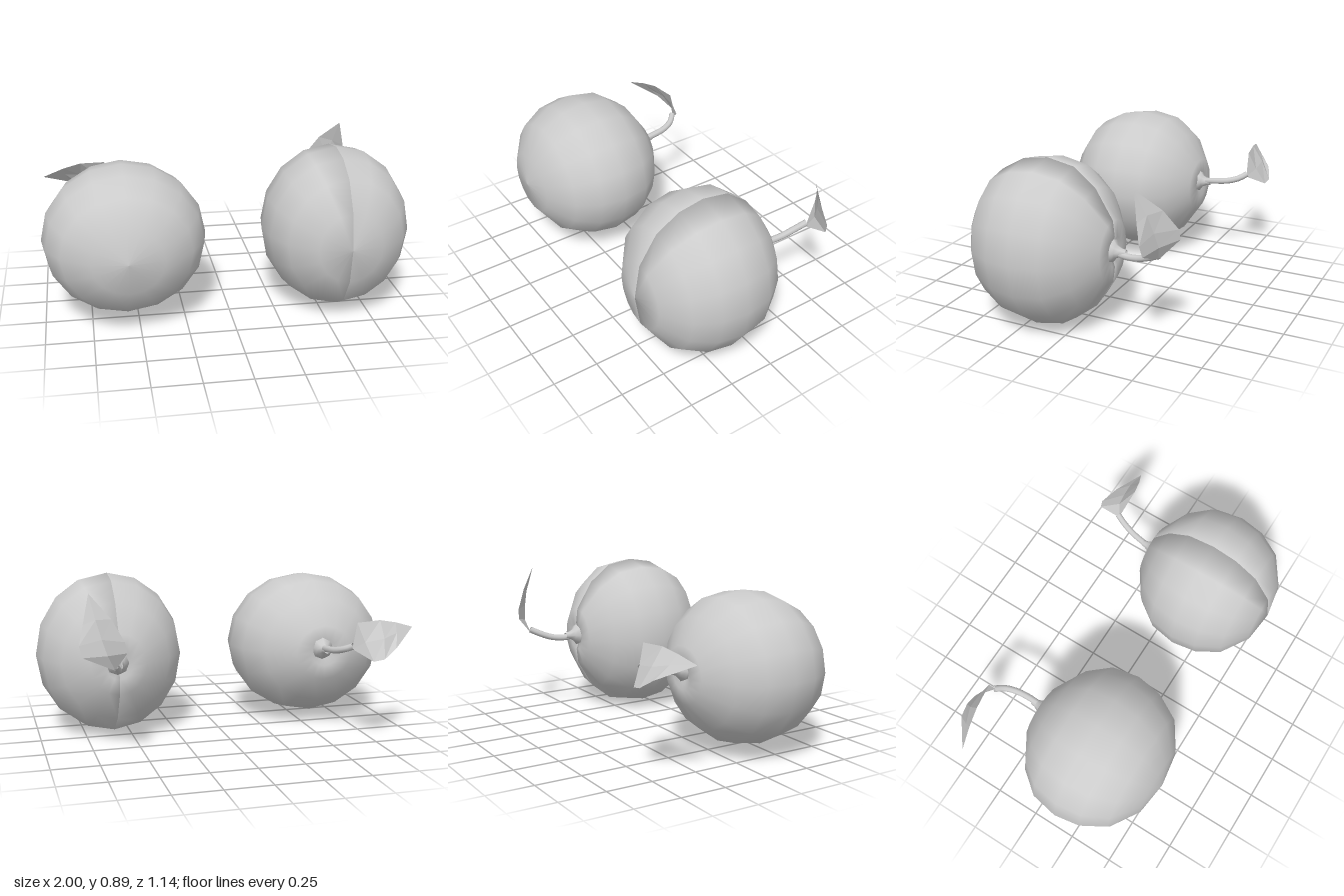
import * as THREE from 'three';

const V = (a) => new THREE.Vector3(...a);
const grey = (opts = {}) => new THREE.MeshStandardMaterial({ color: 0xcccccc, roughness: 0.8, ...opts });

// Half-outline of the fruit along its stem axis: [radius, z], with a dimple at the back
const PROFILE = [
  [0, -0.345], [0.08, -0.375], [0.165, -0.365], [0.32, -0.27], [0.415, -0.15],
  [0.443, 0], [0.42, 0.14], [0.345, 0.27], [0.19, 0.37], [0, 0.4],
].map(([r, z]) => new THREE.Vector2(r, z));

function add(parent, name, geometry, material) {
  const mesh = new THREE.Mesh(geometry, material);
  mesh.name = name;
  parent.add(mesh);
  return mesh;
}

// Lathe turned so its axis runs along z
function body(segments, start, length, sx, sy) {
  return new THREE.LatheGeometry(PROFILE, segments, start, length).rotateX(Math.PI / 2).scale(sx, sy, 1);
}

// Half of a cleft fruit; normals along the seam roll inward so it reads as a groove
function seamHalf(side, sx, sy) {
  const g = body(8, side > 0 ? 0 : Math.PI, Math.PI, sx, sy);
  const p = g.attributes.position, n = g.attributes.normal, v = new THREE.Vector3();
  for (let i = 0; i < p.count; i++) {
    if (Math.abs(p.getX(i)) > 1e-4) continue;
    v.fromBufferAttribute(n, i);
    v.x -= side * 0.8;
    v.normalize();
    n.setXYZ(i, v.x, v.y, v.z);
  }
  return g;
}

// Curved stem with a flared collar where it meets the fruit
function stem(parent, points) {
  const group = new THREE.Group();
  group.name = 'stem';
  const curve = new THREE.CatmullRomCurve3(points.map(V));
  add(group, 'stalk', new THREE.TubeGeometry(curve, 10, 0.018, 8), grey({ side: THREE.DoubleSide }));
  const flare = [[0.018, 0.075], [0.022, 0.05], [0.036, 0.022], [0.062, 0.004], [0.05, -0.03]]
    .reverse().map(([r, y]) => new THREE.Vector2(r, y));
  const collar = add(group, 'collar', new THREE.LatheGeometry(flare, 8).rotateX(-Math.PI / 2), grey({ side: THREE.DoubleSide }));
  collar.position.copy(V(points[0]));
  parent.add(group);
}

// Folded leaf: rows of [edge, midrib, edge] between a base point and a tip
function leaf(parent, base, rows, tip) {
  const all = [[base, base, base], ...rows, [tip, tip, tip]];
  const index = [];
  for (let i = 0; i < all.length - 1; i++) {
    for (let j = 0; j < 2; j++) {
      const a = i * 3 + j, b = a + 3;
      if (i > 0) index.push(a, a + 1, b);
      if (i < all.length - 2) index.push(a + 1, b + 1, b);
      if (i === all.length - 2) continue;
    }
  }
  const g = new THREE.BufferGeometry();
  g.setAttribute('position', new THREE.Float32BufferAttribute(all.flat(2), 3));
  g.setIndex(index);
  g.computeVertexNormals();
  add(parent, 'leaf', g, grey({ side: THREE.DoubleSide, flatShading: true }));
}

export function createModel() {
  const model = new THREE.Group();
  model.name = 'fruitPair';

  // Smooth fruit on the right-hand side (-x)
  const smooth = new THREE.Group();
  smooth.name = 'smoothFruit';
  add(smooth, 'flesh', body(16, 0, Math.PI * 2, 0.993, 0.914), grey()).position.set(-0.56, 0.447, 0.167);
  stem(smooth, [[-0.545, 0.475, -0.2], [-0.54, 0.487, -0.29], [-0.55, 0.498, -0.38], [-0.575, 0.515, -0.44], [-0.61, 0.535, -0.475]]);
  leaf(smooth, [-0.605, 0.52, -0.475], [
    [[-0.63, 0.66, -0.475], [-0.66, 0.56, -0.515], [-0.69, 0.465, -0.565]],
    [[-0.77, 0.665, -0.455], [-0.77, 0.575, -0.515], [-0.75, 0.475, -0.57]],
    [[-0.87, 0.645, -0.435], [-0.86, 0.595, -0.475], [-0.83, 0.525, -0.54]],
  ], [-0.985, 0.61, -0.405]);

  // Cleft fruit on the left-hand side (+x)
  const cleft = new THREE.Group();
  cleft.name = 'cleftFruit';
  for (const side of [1, -1]) {
    add(cleft, side > 0 ? 'leftHalf' : 'rightHalf', seamHalf(side, 0.91, 1), grey({ side: THREE.DoubleSide }))
      .position.set(0.595, 0.447, 0.167);
  }
  stem(cleft, [[0.605, 0.455, -0.2], [0.613, 0.443, -0.27], [0.625, 0.45, -0.35], [0.64, 0.475, -0.42], [0.66, 0.505, -0.48]]);
  leaf(cleft, [0.66, 0.48, -0.475], [
    [[0.615, 0.585, -0.57], [0.7, 0.56, -0.495], [0.82, 0.55, -0.465]],
    [[0.625, 0.64, -0.565], [0.725, 0.64, -0.48], [0.835, 0.61, -0.455]],
    [[0.68, 0.745, -0.505], [0.75, 0.735, -0.455], [0.81, 0.71, -0.43]],
  ], [0.775, 0.86, -0.4]);

  model.add(smooth, cleft);
  return model;
}
